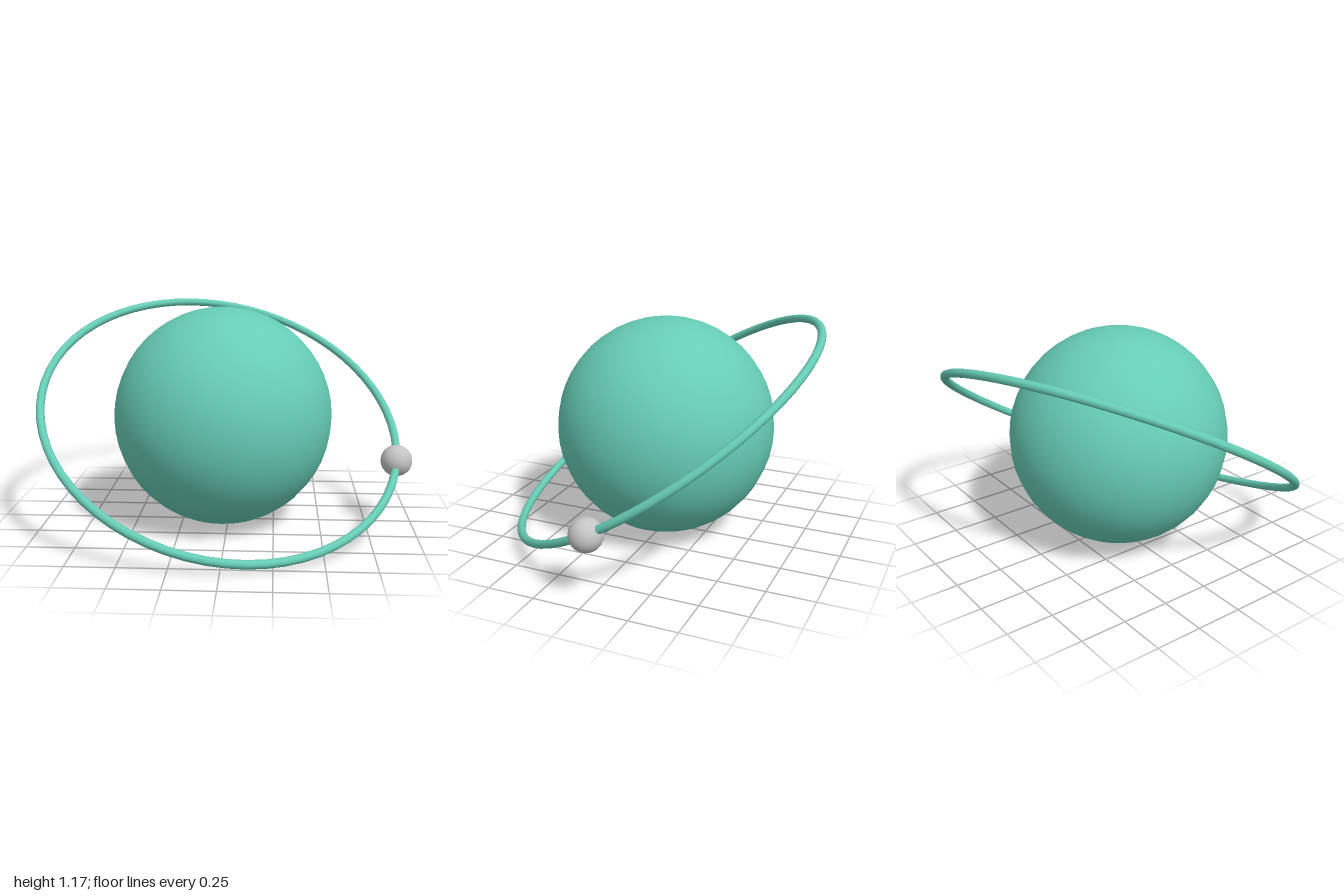
import * as THREE from 'three';

export function createModel() {
  const model = new THREE.Group();
  model.name = 'ringedPlanet';

  const teal = new THREE.MeshStandardMaterial({ color: 0x66ccb5 });
  teal.name = 'teal';
  const grey = new THREE.MeshStandardMaterial({ color: 0xc4c4c4 });
  grey.name = 'light grey';

  const planetRadius = 0.586;
  const orbitRadius = 0.972;

  const add = (parent, name, geometry, material) => {
    const mesh = new THREE.Mesh(geometry, material);
    mesh.name = name;
    parent.add(mesh);
    return mesh;
  };

  // Planet, standing on the ground
  const planet = add(model, 'planet', new THREE.SphereGeometry(planetRadius, 32, 24), teal);
  planet.position.set(-0.028, planetRadius, 0);

  // Orbit tilted sideways, carrying the ring and the moon
  const orbit = new THREE.Group();
  orbit.name = 'orbit';
  orbit.position.copy(planet.position);
  orbit.rotation.z = -0.25;
  model.add(orbit);

  // Ring, lowered toward the front
  const ring = add(orbit, 'ring', new THREE.TorusGeometry(orbitRadius, 0.022, 10, 64), teal);
  ring.rotation.x = Math.PI / 2 + 0.55;

  // Moon threaded on the ring
  const moon = add(orbit, 'moon', new THREE.SphereGeometry(0.085, 24, 16), grey);
  moon.position.x = orbitRadius;

  return model;
}
